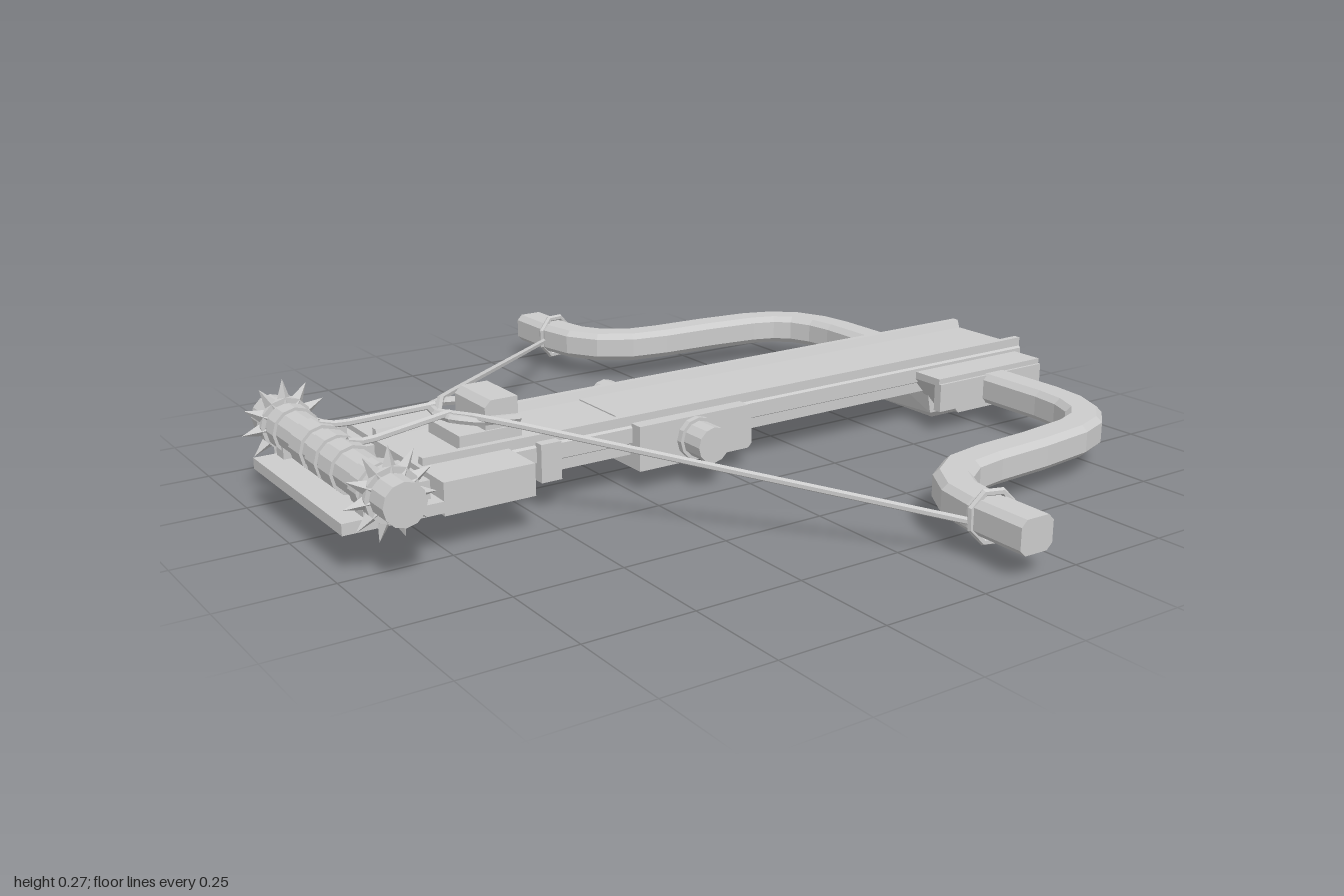
import * as THREE from 'three';

const mat = new THREE.MeshStandardMaterial({ color: 0xcccccc, flatShading: true, side: THREE.DoubleSide });
const V = (x, y, z) => new THREE.Vector3(x, y, z);

export function createModel() {
  const model = new THREE.Group();
  const add = (name, geo, parent = model) => {
    const m = new THREE.Mesh(geo, mat);
    m.name = name;
    parent.add(m);
    return m;
  };
  // box given by its limits
  const box = (name, x0, x1, y0, y1, z0, z1, parent) =>
    add(name, new THREE.BoxGeometry(x1 - x0, y1 - y0, Math.abs(z1 - z0))
      .translate((x0 + x1) / 2, (y0 + y1) / 2, (z0 + z1) / 2), parent);
  // outline extruded evenly about its own plane
  const slab = (pts, depth) => new THREE.ExtrudeGeometry(
    new THREE.Shape(pts.map(p => new THREE.Vector2(...p))), { depth, bevelEnabled: false }).translate(0, 0, -depth / 2);
  // cylinder lying along z
  const rod = (name, r, z0, z1, x, y, sides, parent, r2 = r) =>
    add(name, new THREE.CylinderGeometry(r2, r, Math.abs(z1 - z0), sides)
      .rotateX(Math.PI / 2).translate(x, y, (z0 + z1) / 2), parent);
  const rope = (name, pts, r = 0.008) => {
    const path = new THREE.CurvePath();
    for (let i = 1; i < pts.length; i++) path.add(new THREE.LineCurve3(pts[i - 1], pts[i]));
    return add(name, new THREE.TubeGeometry(path, (pts.length - 1) * 4, r, 6));
  };

  // stock: long rail with raised lips and a stepped side
  const half = [[0.12, 0.08], [0.12, 0.105], [0.13, 0.11], [0.13, 0.145], [0.125, 0.15], [0.125, 0.172], [0.108, 0.172], [0.1, 0.152]];
  const section = [...half, ...half.map(([z, y]) => [-z, y]).reverse()];
  add('rail', slab(section, 1.73).rotateY(Math.PI / 2).translate(0.115, 0, 0));

  // nose block with sloped underside and chamfered corners
  const nose = slab([[-0.13, 0.02], [-0.11, 0], [0.11, 0], [0.13, 0.02], [0.13, 0.145], [-0.13, 0.145]], 0.34)
    .rotateY(Math.PI / 2).translate(0.81, 0, 0);
  const np = nose.attributes.position;
  for (let i = 0; i < np.count; i++) {
    if (np.getX(i) < 0.7 && np.getY(i) < 0.03) { np.setX(i, np.getY(i) < 0.01 ? 0.69 : 0.665); }
  }
  nose.computeVertexNormals();
  add('noseBlock', nose);

  // middle mount and strap around the rail
  add('middleMount', slab([[-0.24, 0.05], [0.06, 0.05], [0.07, 0.06], [0.07, 0.145], [0.06, 0.155], [-0.24, 0.155]], 0.32));
  box('strap', -0.485, -0.435, 0.07, 0.157, -0.15, 0.15);

  // rear platform
  box('rearBlock', -0.76, -0.55, 0.083, 0.155, -0.24, 0.24);
  box('rearPlate', -0.98, -0.76, 0.09, 0.115, -0.24, 0.24);

  for (const s of [1, -1]) {
    const side = new THREE.Group();
    side.name = s > 0 ? 'frontSide' : 'backSide';
    model.add(side);

    // pivot pin
    rod('pivotPin', 0.042, s * 0.15, s * 0.235, -0.09, 0.105, 12, side);
    rod('pivotCollar', 0.05, s * 0.16, s * 0.175, -0.09, 0.105, 12, side);

    // limb socket with a sloping rear end
    add('limbSocket', slab([[0.61, 0.138], [0.61, 0.12], [0.68, 0.04], [0.96, 0.04], [0.96, 0.138]], 0.1)
      .translate(0, 0, s * 0.165), side);
    box('socketLip', 0.61, 0.96, 0.055, 0.125, s * 0.2, s * 0.222, side);

    // recurved bow limb
    const path = [[0.8, 0.18], [0.8, 0.4], [0.79, 0.48], [0.76, 0.55], [0.71, 0.595], [0.64, 0.62], [0.5, 0.637],
      [0.35, 0.645], [0.26, 0.66], [0.19, 0.705], [0.15, 0.77], [0.135, 0.85], [0.132, 1]].map(([x, z]) => V(x, 0.09, s * z));
    add('bowLimb', sweep(path, 0.043, 0.038), side);

    // loop holding the string to the limb tip
    add('stringLoop', new THREE.TorusGeometry(0.053, 0.008, 6, 8).scale(1, 1.08, 1)
      .rotateZ(Math.PI / 8).rotateY(s * -0.24).translate(0.14, 0.087, s * 0.872), side);

    // spiked winch wheel
    const wheel = new THREE.Group();
    wheel.name = 'winchWheel';
    wheel.position.set(-0.89, 0.17, s * 0.275);
    side.add(wheel);
    rod('wheelHub', 0.06, -0.013, 0.013, 0, 0, 12, wheel);
    for (let i = 0; i < 11; i++) {
      const a = i * Math.PI * 2 / 11;
      add('wheelSpike', new THREE.ConeGeometry(0.018, 0.055, 4).translate(0, 0.0725, 0).rotateZ(a), wheel);
    }

    // winch bearings and small rear brackets
    box('bearing', -0.93, -0.85, 0.1, 0.15, s * 0.19, s * 0.23, side);
    box('bracketBar', -0.83, -0.775, 0.11, 0.155, s * 0.06, s * 0.21, side);
    box('bracketFinger', -0.86, -0.80, 0.14, 0.18, s * 0.145, s * 0.17, side);

    // claw arm around the latch, and its hauling rope
    rope('clawArm', [V(-0.5, 0.205, s * 0.085), V(-0.6, 0.215, s * 0.09), V(-0.645, 0.22, s * 0.055), V(-0.655, 0.22, 0)], 0.01);
    rope('haulRope', [V(-0.64, 0.228, s * 0.035), V(-0.85, 0.212, s * 0.07), V(-0.89, 0.222, s * 0.075)]);
    // bowstring half
    rope('bowstring', [V(-0.65, 0.222, 0), V(-0.625, 0.228, s * 0.06), V(-0.56, 0.217, s * 0.13), V(0.1, 0.08, s * 0.862)]);
  }

  // latch block
  add('latchBlock', slab([[-0.575, 0.15], [-0.495, 0.15], [-0.495, 0.25], [-0.56, 0.25], [-0.575, 0.235]], 0.14));
  box('latchFoot', -0.64, -0.49, 0.15, 0.185, -0.075, 0.075);

  // winch drum with rope windings
  rod('winchAxle', 0.047, -0.35, 0.35, -0.893, 0.17, 12);
  for (const [a, b] of [[-0.24, -0.2], [-0.11, -0.05], [0.05, 0.11], [0.2, 0.24], [-0.02, 0.03]])
    rod('drumBand', 0.054, a, b, -0.893, 0.17, 12);

  return model;
}

// chamfered bar of half width w and half height h along a level path
function sweep(path, w, h) {
  const c = 0.014, pos = [], idx = [], n = 8, up = V(0, 1, 0);
  const ring = [[w, -h + c], [w, h - c], [w - c, h], [c - w, h], [-w, h - c], [-w, c - h], [c - w, -h], [w - c, -h]];
  path.forEach((p, i) => {
    const t = path[Math.min(i + 1, path.length - 1)].clone().sub(path[Math.max(i - 1, 0)]).normalize();
    const side = up.clone().cross(t);
    for (const [u, v] of ring) pos.push(p.x + side.x * u, p.y + v, p.z + side.z * u);
  });
  for (let i = 0; i < path.length - 1; i++)
    for (let j = 0; j < n; j++) {
      const a = i * n + j, b = i * n + (j + 1) % n;
      idx.push(a, b, b + n, a, b + n, a + n);
    }
  const e = (path.length - 1) * n;
  for (let j = 1; j < n - 1; j++) idx.push(0, j + 1, j, e, e + j, e + j + 1);
  const g = new THREE.BufferGeometry();
  g.setAttribute('position', new THREE.Float32BufferAttribute(pos, 3));
  g.setIndex(idx);
  const flat = g.toNonIndexed();
  flat.computeVertexNormals();
  return flat;
}
